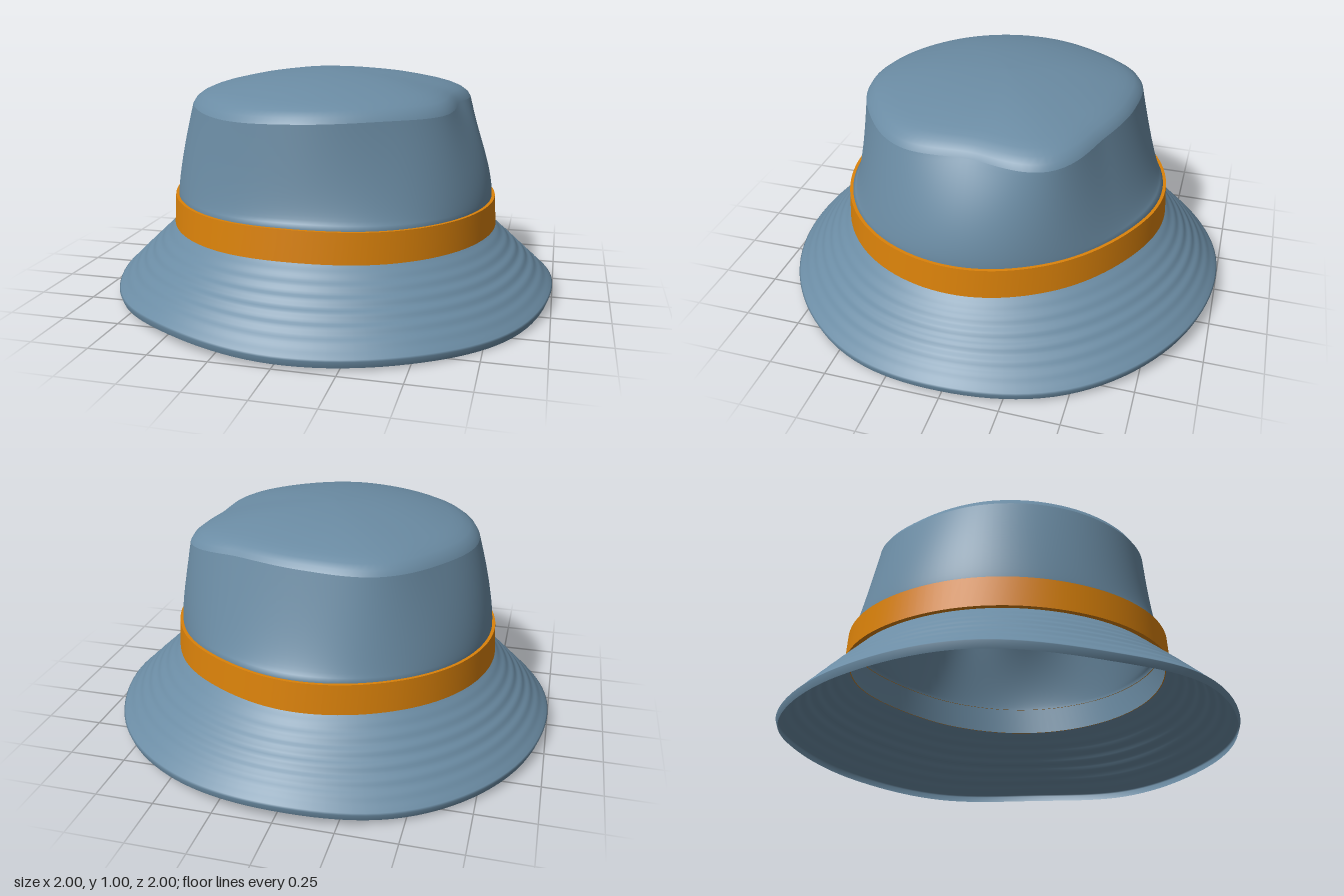
import * as THREE from 'three';

const SEG = 120;

// Smooth periodic curve through 12 values, one every 30 degrees (0 = +x, 90 = +z)
function around(values) {
  const n = values.length;
  return (a) => {
    const t = (a / (Math.PI * 2)) * n, i = Math.floor(t), f = t - i;
    const [p, q, r, s] = [-1, 0, 1, 2].map((k) => values[(i + k + n) % n]);
    return q + 0.5 * f * (r - p + f * (2 * p - 5 * q + 4 * r - s + f * (3 * (q - r) + s - p)));
  };
}

const brimEdgeY = around([0.035, 0.005, 0.015, 0.02, 0.04, 0.015, 0.035, 0.02, 0.02, 0.055, 0.045, 0.025]);
const neckR = around([0.715, 0.715, 0.712, 0.71, 0.714, 0.716, 0.718, 0.716, 0.714, 0.712, 0.69, 0.695]);
const neckY = around([0.325, 0.32, 0.322, 0.33, 0.325, 0.325, 0.33, 0.335, 0.345, 0.35, 0.35, 0.335]);
const rimR = around([0.56, 0.61, 0.61, 0.64, 0.65, 0.64, 0.635, 0.61, 0.62, 0.565, 0.565, 0.645]);
const rimY = around([0.87, 0.86, 0.865, 0.86, 0.85, 0.86, 0.86, 0.87, 0.88, 0.89, 0.89, 0.865]);
const wallBend = around([1.7, 1.2, 0.7, 0.45, 0.7, 1.2, 1.5, 1.3, 0.9, 0.7, 0.9, 1.4]);
const bandHeight = 0.13;

// Surface through closed rings; at(row, angle) returns [radius, y]
function loft(rows, at, material, name) {
  const pos = [], index = [];
  for (let j = 0; j < rows; j++) {
    for (let i = 0; i < SEG; i++) {
      const a = (i / SEG) * Math.PI * 2;
      const [r, y] = at(j, a);
      pos.push(r * Math.cos(a), y, r * Math.sin(a));
      if (j === rows - 1) continue;
      const p = j * SEG + i, q = j * SEG + ((i + 1) % SEG);
      index.push(p, p + SEG, q, q, p + SEG, q + SEG);
    }
  }
  const geo = new THREE.BufferGeometry();
  geo.setAttribute('position', new THREE.Float32BufferAttribute(pos, 3));
  geo.setIndex(index);
  geo.computeVertexNormals();
  const mesh = new THREE.Mesh(geo, material);
  mesh.name = name;
  return mesh;
}

export function createModel() {
  const hat = new THREE.Group();
  hat.name = 'bucketHat';
  const cloth = new THREE.MeshStandardMaterial({ color: 0x6b8ca4, side: THREE.DoubleSide });
  cloth.name = 'blueCloth';
  const ribbon = new THREE.MeshStandardMaterial({ color: 0xdb820a, side: THREE.DoubleSide });
  ribbon.name = 'orangeRibbon';

  // Sloping brim with a small turned-down lip and faint stitched ridges
  const brimRows = 48;
  hat.add(loft(brimRows, (j, a) => {
    const e = brimEdgeY(a);
    if (j === 0) return [0.99, e];
    const t = (j - 1) / (brimRows - 2);
    const ripple = 0.0015 * Math.sin(t * Math.PI * 14) * Math.sin(t * Math.PI);
    const lipY = e + 0.028;
    return [1 + (neckR(a) - 1) * t + ripple, lipY + (neckY(a) - lipY) * t + ripple];
  }, cloth, 'brim'));

  // Crown wall: upright behind the ribbon, then bending in to the wavy rim
  const wallRows = 26;
  hat.add(loft(wallRows, (j, a) => {
    const y0 = neckY(a), y1 = y0 + bandHeight, r = neckR(a);
    if (j === 0) return [r, y0];
    const t = (j - 1) / (wallRows - 2);
    return [r + (rimR(a) - r) * Math.pow(t, wallBend(a)), y1 + (rimY(a) - y1) * t];
  }, cloth, 'crownWall'));

  // Domed crown top: [fraction of rim radius, fraction of dome height]
  const dome = [[1, 0], [0.975, 0.18], [0.93, 0.33], [0.87, 0.45], [0.8, 0.55], [0.7, 0.66],
    [0.6, 0.76], [0.45, 0.87], [0.3, 0.94], [0.15, 0.985], [0.0001, 1]];
  hat.add(loft(dome.length, (j, a) => {
    const [s, h] = dome[j], y = rimY(a);
    return [rimR(a) * s, y + (1 - y) * h];
  }, cloth, 'crownTop'));

  // Ribbon: [outward offset, fraction of height], lower lip, face, upper lip
  const section = [[-0.004, 0], [0.022, 0], [0.014, 1], [-0.004, 1]];
  const band = new THREE.Group();
  band.name = 'hatBand';
  for (let k = 0; k < 3; k++) {
    band.add(loft(2, (j, a) => {
      const [d, h] = section[k + j];
      return [neckR(a) + d, neckY(a) + bandHeight * h];
    }, ribbon, ['bandLowerEdge', 'bandFace', 'bandUpperEdge'][k]));
  }
  hat.add(band);
  return hat;
}
